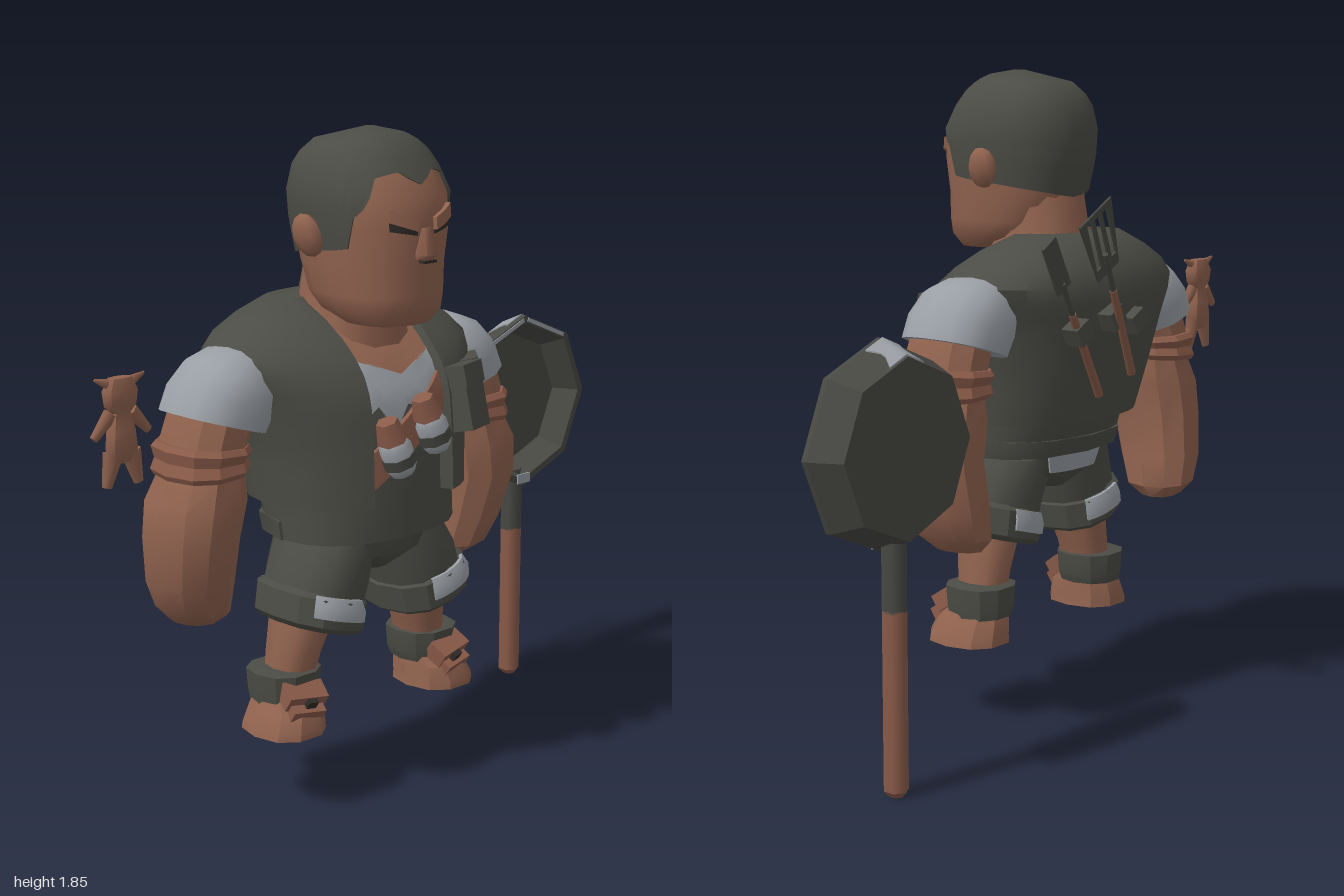
import * as THREE from 'three';
import { toCreasedNormals } from 'three/addons/utils/BufferGeometryUtils.js';

const mat = (name, color) => { const m = new THREE.MeshStandardMaterial({ color }); m.name = name; return m; };
const CX = -0.19, P = 0.85, RAD = Math.PI / 180;

// Rings run from bottom to top: [x, y, z, rx, rz, tilt]
function ringPoint(r, th, off = 0) {
  const c = Math.cos(th), s = Math.sin(th);
  const dx = Math.sign(c) * Math.abs(c) ** P * (r[3] + off), dz = Math.sign(s) * Math.abs(s) ** P * (r[4] + off);
  const t = r[5] || 0;
  return [r[0] + dx * Math.cos(t), r[1] + dx * Math.sin(t), r[2] + dz];
}
function ringAt(rings, y) {
  let i = 0;
  while (i < rings.length - 2 && rings[i + 1][1] < y) i++;
  const a = rings[i], b = rings[i + 1], f = THREE.MathUtils.clamp((y - a[1]) / (b[1] - a[1]), 0, 1);
  return [0, 1, 2, 3, 4, 5].map(k => THREE.MathUtils.lerp(a[k] || 0, b[k] || 0, f));
}
function lookup(table, x) {
  let i = 0;
  while (i < table.length - 2 && table[i + 1][0] < x) i++;
  const [a, b] = [table[i], table[i + 1]];
  return a[1] + (b[1] - a[1]) * (x - a[0]) / (b[0] - a[0]);
}
function build(pos, idx, crease) {
  const g = new THREE.BufferGeometry();
  g.setAttribute('position', new THREE.Float32BufferAttribute(pos, 3));
  g.setIndex(idx);
  return toCreasedNormals(g, crease);
}
// Closed body through the rings
function loft(rings, n = 12, crease = 0.75) {
  const pos = [], idx = [], m = rings.length;
  rings.forEach(r => { for (let i = 0; i < n; i++) pos.push(...ringPoint(r, i / n * Math.PI * 2)); });
  for (let j = 0; j < m - 1; j++) for (let i = 0; i < n; i++) {
    const a = j * n + i, b = j * n + (i + 1) % n;
    idx.push(a, a + n, b, b, a + n, b + n);
  }
  pos.push(...rings[0].slice(0, 3), ...rings[m - 1].slice(0, 3));
  for (let i = 0; i < n; i++) {
    const k = (i + 1) % n, t = (m - 1) * n;
    idx.push(m * n, i, k, m * n + 1, t + k, t + i);
  }
  return build(pos, idx, crease);
}
// Raised sheet whose border folds back to the surface; point(u, v, raised)
function sheet(point, nu, nv, crease = 0.75) {
  const pos = [], idx = [], w = nu + 3, cl = (k, n) => Math.min(Math.max(k, 0), n) / n;
  for (let j = -1; j <= nv + 1; j++) for (let i = -1; i <= nu + 1; i++)
    pos.push(...point(cl(i, nu), cl(j, nv), i >= 0 && j >= 0 && i <= nu && j <= nv));
  for (let j = 0; j < nv + 2; j++) for (let i = 0; i < nu + 2; i++) {
    const a = j * w + i;
    idx.push(a, a + w, a + 1, a + 1, a + w, a + w + 1);
  }
  return build(pos, idx, crease);
}
const shell = (rings, f, off, nu, nv) => sheet((u, v, up) => {
  const [th, y] = f(u, v);
  return ringPoint(ringAt(rings, y), th, up ? off : -0.002);
}, nu, nv);
// Angle on the front of a body for a sideways offset from its centre
const frontAngle = (rings, dx, y) => {
  const q = Math.min(1, Math.abs(dx) / ringAt(rings, y)[3]);
  return Math.acos(Math.sign(dx) * q ** (1 / P));
};
// Front patch between x offsets d0 (right) and d1 (left), with bottom and top heights as functions of u
const frontPatch = (rings, d0, d1, lo, hi, off, nu = 8, nv = 4) => shell(rings, (u, v) => {
  const y = lo(u) + (hi(u) - lo(u)) * v;
  return [frontAngle(rings, d1 + (d0 - d1) * u, y), y];
}, off, nu, nv);
// Patch given by angles in degrees
const anglePatch = (rings, a0, a1, y0, y1, off) => shell(rings, (u, v) => [(a0 + (a1 - a0) * u) * RAD, y0 + (y1 - y0) * v], off, 6, 2);

export function createModel() {
  const root = new THREE.Group();
  const charcoal = mat('charcoal cloth', 0x4b4c45), skin = mat('skin', 0x91634f), pale = mat('pale cloth', 0x9a9fa5);
  const wood = mat('brown leather and wood', 0x8a5b49), iron = mat('iron', 0x484943), dark = mat('dark detail', 0x2f2a27);
  const add = (name, geo, m, parent = root) => { const o = new THREE.Mesh(geo, m); o.name = name; parent.add(o); return o; };
  const box = (name, m, s, p, r = [0, 0, 0], parent = root) => {
    const o = add(name, new THREE.BoxGeometry(...s), m, parent);
    o.position.set(...p); o.rotation.set(...r);
    return o;
  };
  const fb = (y, rx, front, back) => [CX, y, (front + back) / 2, rx, (front - back) / 2, 0];

  // Head and hair
  const head = [fb(1.34, .11, .30, .08), fb(1.375, .148, .325, .0), fb(1.42, .16, .33, -.04), fb(1.5, .168, .33, -.07), fb(1.6, .182, .34, -.092),
    fb(1.68, .187, .33, -.095), fb(1.75, .17, .29, -.078), fb(1.79, .145, .262, -.052), fb(1.82, .108, .232, -.015), fb(1.84, .06, .19, .05), fb(1.848, .006, .13, .12)];
  add('head', loft(head.slice(0, 7), 20), skin);
  const hairline = [[0, 1.71], [16, 1.745], [38, 1.73], [48, 1.66], [60, 1.63], [65, 1.55], [82, 1.54], [180, 1.49]];
  add('hair', shell(head, (u, v) => {
    const lo = lookup(hairline, 180 - Math.abs(180 - u * 360));
    return [(90 + u * 360) * RAD, lo + (1.848 - lo) * v];
  }, 0.008, 48, 10), charcoal);
  add('nose', loft([[CX, 1.515, .325, .026, .026], [CX, 1.53, .33, .03, .036], [CX, 1.6, .33, .02, .016]], 6, 1.2), skin);
  box('nostrils', dark, [.045, .007, .02], [CX, 1.513, .346]);
  for (const s of [-1, 1]) {
    const slant = (y, k) => u => y + k * (s > 0 ? 1 - u : u);
    const d = s > 0 ? [.03, .105] : [-.105, -.03];
    add('eye', frontPatch(head, ...d, slant(1.582, .014), slant(1.592, .026), .003, 4, 1), dark);
    add('brow', frontPatch(head, ...d, slant(1.593, .027), slant(1.625, .03), .01, 4, 1), skin);
    const ear = add('ear', new THREE.SphereGeometry(1, 8, 6), skin);
    ear.scale.set(.03, .06, .048); ear.position.set(CX + s * .198, 1.575, .1); ear.rotation.set(-.2, 0, -s * .25);
  }
  add('neck', loft([fb(1.2, .17, .2, -.15), fb(1.33, .145, .19, -.1), fb(1.4, .13, .19, -.09), fb(1.5, .13, .2, -.07)], 14), skin);

  // Torso, shirt and open vest
  const torso = [fb(.76, .278, .285, -.12), fb(.87, .28, .285, -.16), fb(1.0, .295, .28, -.2), fb(1.15, .33, .265, -.23),
    fb(1.23, .37, .225, -.235), fb(1.275, .375, .18, -.228), fb(1.32, .31, .13, -.2), fb(1.36, .235, .075, -.165), fb(1.39, .17, .01, -.115)];
  add('shirt', loft(torso, 20), charcoal);
  add('collar skin', frontPatch(torso, -.14, .14, u => 1.2 + .05 * Math.abs(u - .5) * 2, () => 1.37, .006), skin);
  add('shirt patch', frontPatch(torso, -.13, .13, u => 1.1 + .03 * Math.cos(u * 14), u => 1.2 + .05 * Math.abs(u - .5) * 2, .006), pale);
  add('vest', shell(torso, (u, v) => {
    const y = .865 + .525 * v, a = frontAngle(torso, -.13, y), b = frontAngle(torso, .13, y) + Math.PI * 2;
    return [a + (b - a) * u, y];
  }, .034, 30, 12), charcoal);
  add('waistband', anglePatch(torso, 180, 360, .76, .81, .01), charcoal);

  // Bandolier and bottles
  add('bandolier', frontPatch(torso, -.15, .13, u => 1.09 - .2 * u, u => 1.19 - .2 * u, .014), wood);
  const bottleShape = [[0, -.06], [.034, -.055], [.046, -.03], [.046, .03], [.025, .055], [0, .056]].map(p => new THREE.Vector2(...p));
  for (const [x, y] of [[-.26, 1.0], [-.13, 1.045]]) {
    const g = new THREE.Group();
    g.name = 'bottle'; g.position.set(x, y, .305); g.rotation.z = .38; root.add(g);
    add('bottle body', new THREE.LatheGeometry(bottleShape, 8), pale, g);
    add('bottle band', new THREE.CylinderGeometry(.049, .049, .03, 8), iron, g).position.y = -.012;
    add('bottle cap', new THREE.CylinderGeometry(.03, .043, .06, 6), wood, g).position.y = .075;
  }
  // Pockets on the left of the vest
  for (const [x, z, r] of [[.015, .285, .3], [.1, .215, .85]]) {
    const g = new THREE.Group();
    g.name = 'pocket'; g.position.set(x, 1.11, z); g.rotation.set(-.2, r, 0, 'YXZ'); root.add(g);
    box('pouch', charcoal, [.1, .17, .07], [0, 0, 0], [0, 0, 0], g);
    box('pocket flap', charcoal, [.105, .06, .08], [0, .065, 0], [0, 0, 0], g);
  }

  // Hips
  const hips = [fb(.645, .05, .17, -.03), fb(.7, .19, .235, -.09), fb(.79, .25, .25, -.11)];
  add('hips', loft(hips, 14), charcoal);
  add('back trouser patch', anglePatch(hips, 250, 300, .705, .76, .01), pale);

  for (const s of [-1, 1]) {
    const side = rows => rows.map(([dx, y, z, rx, rz, t = 0]) => [CX + s * dx, y, z, rx, rz, t * s]);
    const outer = (a0, a1) => s > 0 ? [a0, a1] : [180 - a1, 180 - a0];
    // Arm
    add('sleeve', loft(side([[.445, 1.1, -.005, .132, .145, .3], [.42, 1.15, -.005, .135, .145, .45],
      [.378, 1.195, -.005, .125, .14, .6], [.335, 1.225, -.01, .1, .115, .7], [.3, 1.25, -.01, .05, .07, .75]]), 14), pale);
    add('arm', loft(side([[.485, .548, -.055, .06, .06, .12], [.492, .585, -.045, .09, .105, .1], [.51, .67, -.03, .105, .125], [.522, .8, -.005, .113, .138],
      [.507, .9, 0, .122, .14], [.49, .97, 0, .1, .125], [.475, 1.06, 0, .1, .125, .1], [.45, 1.12, 0, .1, .12, .3]]), 10, .6), skin);
    add('armband', loft(side([[.489, .97, -.003, .106, .134, -.05], [.487, .985, -.003, .116, .143, -.05], [.485, 1.01, -.003, .106, .134, 0],
      [.482, 1.035, -.003, .116, .145, .06], [.48, 1.05, -.003, .106, .134, .06]]), 10, .4), wood);
    // Trouser leg with patched cuff
    add('trouser leg', loft(side([[.19, .57, .09, .125, .145, .25], [.165, .65, .09, .125, .15, .18], [.125, .75, .075, .12, .15]]), 12), charcoal);
    const cuff = side([[.202, .51, .09, .118, .145, .27], [.2, .525, .09, .135, .16, .27], [.187, .598, .09, .138, .16, .27], [.186, .613, .09, .115, .14, .27]]);
    add('trouser cuff', loft(cuff, 12, .5), charcoal);
    add('front cuff patch', anglePatch(cuff, ...outer(48, 112), .55, .608, .007), pale);
    add('back cuff patch', anglePatch(cuff, ...outer(235, 290), .545, .605, .007), pale);
    // Lower leg and shoe
    add('calf', loft(side([[.25, .34, .06, .06, .07], [.235, .43, .065, .068, .08], [.2, .56, .075, .085, .1]]), 10), skin);
    add('ankle cuff', loft(side([[.265, .3, .055, .085, .088], [.262, .325, .055, .092, .095], [.262, .39, .055, .098, .098], [.26, .395, .055, .07, .07]]), 10, .5), charcoal);
    add('shoe', loft(side([[.285, .225, .08, .104, .12], [.284, .245, .08, .1, .12], [.272, .29, .075, .088, .11], [.265, .33, .06, .075, .08]]), 10, .5), skin);
    box('shoe strap', wood, [.12, .05, .06], [CX + s * .275, .335, .15], [.6, s * .2, 0]);
    box('shoe buckle', dark, [.03, .035, .02], [CX + s * .275, .318, .182], [.6, s * .2, 0]);
    box('shoe tongue', wood, [.1, .035, .05], [CX + s * .28, .3, .165], [.6, s * .2, 0]);
  }

  // Cooking tools hung on the back
  const tool = (name, from, to, turn) => {
    const a = new THREE.Vector3(...from), d = new THREE.Vector3(...to).sub(a), g = new THREE.Group();
    g.name = name; g.position.copy(a); root.add(g);
    g.quaternion.setFromUnitVectors(new THREE.Vector3(0, 1, 0), d.clone().normalize());
    g.rotateY(turn);
    const len = d.length();
    add('tool handle', new THREE.CylinderGeometry(.011, .013, .3, 6), wood, g).position.y = .15;
    add('tool shaft', new THREE.CylinderGeometry(.009, .009, len - .43, 6), iron, g).position.y = .29 + (len - .43) / 2;
    return [g, len];
  };
  const rect = (C, x0, y0, x1, y1) => { const q = new C(); q.moveTo(x0, y0); q.lineTo(x1, y0); q.lineTo(x1, y1); q.lineTo(x0, y1); q.closePath(); return q; };
  const [spatula, len] = tool('spatula', [-.2, 1.0, -.275], [.09, 1.475, -.36], 0);
  const blade = new THREE.Shape([[-.05, -.2], [.05, -.2], [.075, 0], [-.075, 0]].map(p => new THREE.Vector2(...p)));
  for (const x of [-.036, 0, .036]) blade.holes.push(rect(THREE.Path, x - .011, -.165, x + .011, -.018));
  add('slotted blade', new THREE.ExtrudeGeometry(blade, { depth: .006, bevelEnabled: false }), iron, spatula).position.y = len;
  const [knife, len2] = tool('scraper', [-.08, .95, -.25], [.23, 1.4, -.31], 0);
  box('scraper blade', iron, [.06, .16, .008], [0, len2 - .08, 0], [0, 0, 0], knife);
  for (const [x, y, z] of [[-.21, 1.15, -.27], [-.1, 1.17, -.275], [.04, 1.14, -.265]])
    box('tool loop', charcoal, [.06, .055, .055], [x, y, z], [0, 0, -.5]);

  // Frying pan
  const pan = new THREE.Group();
  pan.name = 'frying pan'; pan.position.set(.722, .916, 0); root.add(pan);
  const profile = [[0, -.255], [.235, -.255], [.274, -.165], [.274, -.15], [.252, -.15], [.212, -.225], [0, -.225]].map(p => new THREE.Vector2(...p));
  add('pan bowl', toCreasedNormals(new THREE.LatheGeometry(profile, 8).rotateX(Math.PI / 2), .2), iron, pan);
  add('worn patch', sheet((u, v, up) => {
    const z = -.25 + .082 * v, x = (u - .5) * (.075 + .1 * Math.abs(v - .5));
    return [x, .235 + (z + .255) * .433 - Math.abs(x) * Math.tan(Math.PI / 8) + (up ? .004 : -.002), z];
  }, 6, 5), pale, pan);
  box('worn rim', pale, [.055, .03, .006], [0, -.25, -.149], [0, 0, 0], pan);
  for (const s of [-1, 1]) box('worn edge', pale, [.18, .012, .004], [s * .092, .226, -.149], [0, 0, -s * Math.PI / 8], pan);
  add('handle socket', new THREE.CylinderGeometry(.034, .034, .2, 6), iron, pan).position.set(0, -.325, -.2);
  add('handle grip', new THREE.CylinderGeometry(.034, .034, .48, 6), wood, pan).position.set(0, -.66, -.2);
  add('handle end', new THREE.CylinderGeometry(.034, .02, .016, 6), wood, pan).position.set(0, -.908, -.2);

  // Small horned doll
  const doll = new THREE.Group();
  doll.name = 'doll'; doll.position.set(-.91, 0, -.025); root.add(doll);
  add('doll body', loft([[0, 1.035, 0, .03, .015], [0, 1.07, 0, .048, .028], [0, 1.12, 0, .042, .026], [0, 1.165, 0, .03, .018], [0, 1.185, 0, .05, .024],
    [0, 1.22, 0, .055, .028], [0, 1.255, 0, .035, .018]], 8), skin, doll);
  for (const s of [-1, 1]) {
    const limb = (name, r0, r1, h, x, y, tilt) => {
      const o = add(name, new THREE.CylinderGeometry(r0, r1, h, 6), skin, doll);
      o.position.set(s * x, y, 0); o.rotation.z = s * tilt; o.scale.z = .7;
    };
    limb('doll arm', .022, .012, .08, .058, 1.135, .75);
    limb('doll leg', .03, .014, .09, .038, 1.018, .25);
    limb('doll horn', .004, .014, .04, .058, 1.25, -1.2);
  }
  return root;
}
